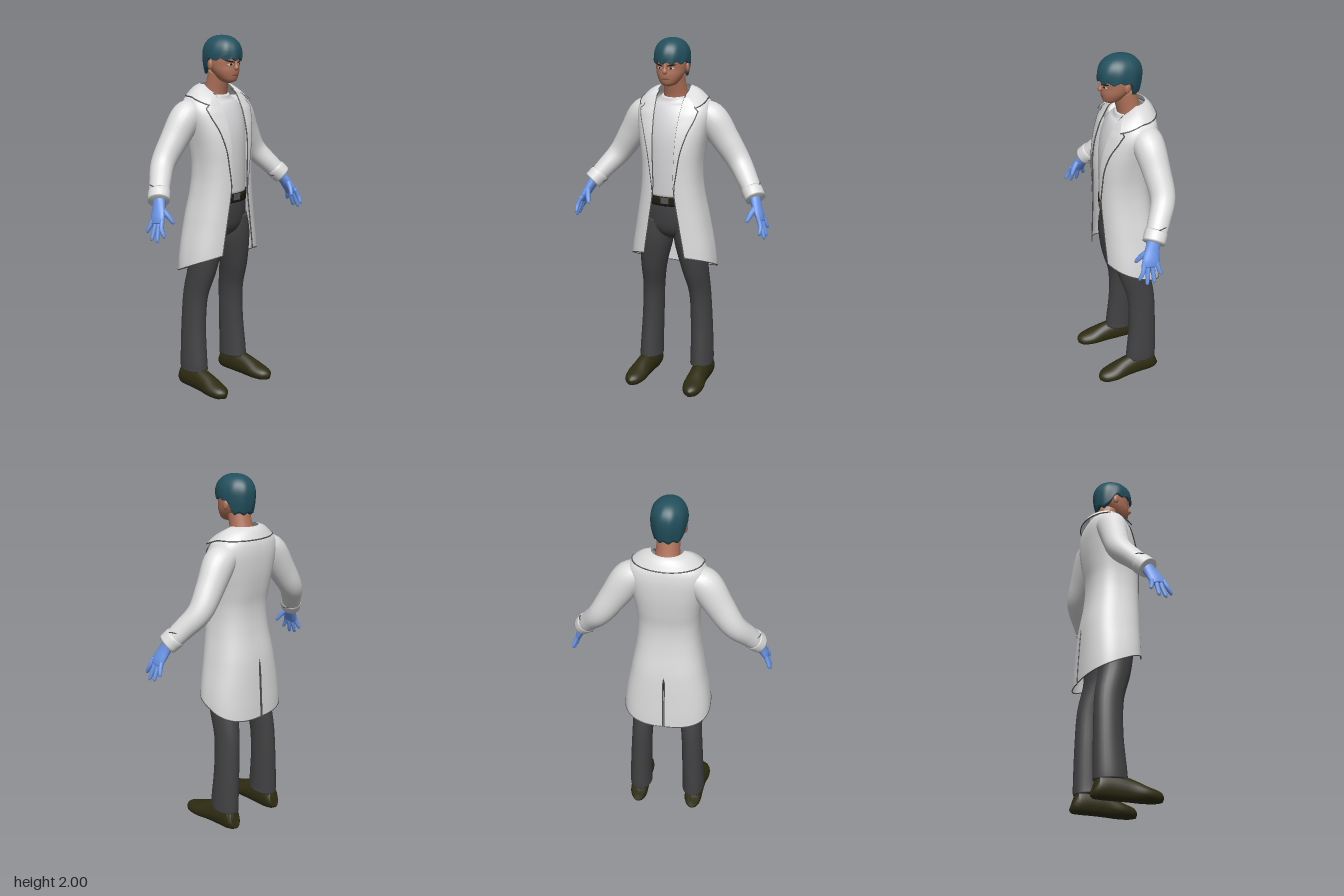
import * as THREE from 'three';
import { mergeVertices } from 'three/addons/utils/BufferGeometryUtils.js';

const mat = (name, color, side = THREE.FrontSide) => {
  const m = new THREE.MeshStandardMaterial({ color, side });
  m.name = name;
  return m;
};

// Smooth interpolation through table rows, t in 0..1
function sample(rows, t) {
  const n = rows.length - 1, s = Math.min(Math.max(t, 0), 1) * n;
  const i = Math.min(Math.floor(s), n - 1), f = s - i;
  const [a, b, c, d] = [-1, 0, 1, 2].map(k => rows[Math.min(Math.max(i + k, 0), n)]);
  return b.map((_, k) => b[k] + 0.5 * f * (c[k] - a[k] + f * (2 * a[k] - 5 * b[k] + 4 * c[k] - d[k]
    + f * (3 * (b[k] - c[k]) + d[k] - a[k]))));
}
// Look up a table whose first column is a descending height
function atY(rows, y) {
  let i = 0;
  while (i < rows.length - 2 && y < rows[i + 1][0]) i++;
  const f = Math.min(Math.max((rows[i][0] - y) / (rows[i][0] - rows[i + 1][0]), 0), 1);
  return sample(rows, (i + f) / (rows.length - 1));
}

// Smooth surface from a function of u and v
function grid(nu, nv, f) {
  const pos = [], idx = [];
  for (let i = 0; i <= nu; i++) for (let j = 0; j <= nv; j++) pos.push(...f(i / nu, j / nv));
  for (let i = 0; i < nu; i++) for (let j = 0; j < nv; j++) {
    const a = i * (nv + 1) + j, b = a + nv + 1;
    idx.push(a, b, a + 1, b, b + 1, a + 1);
  }
  let g = new THREE.BufferGeometry();
  g.setAttribute('position', new THREE.Float32BufferAttribute(pos, 3));
  g.setIndex(idx);
  g = mergeVertices(g, 1e-5);
  g.computeVertexNormals();
  return g;
}

// Capped elliptical loft; rows are [x, y, z, radiusA, radiusB]
function limb(rows, ref = [0, 0, 1], nu = 20, nv = 20) {
  const R = new THREE.Vector3(...ref);
  return grid(nu + 2, nv, (u, v) => {
    const k = Math.round(u * (nu + 2)), t = Math.min(Math.max((k - 1) / nu, 0), 1);
    const p = sample(rows, t), p0 = sample(rows, t - 0.02), p1 = sample(rows, t + 0.02);
    const T = new THREE.Vector3(p1[0] - p0[0], p1[1] - p0[1], p1[2] - p0[2]).normalize();
    const side = T.clone().cross(R).normalize(), up = side.clone().cross(T);
    const r = k === 0 || k === nu + 2 ? 0 : 1, a = v === 1 ? 0 : v * Math.PI * 2;
    return new THREE.Vector3(p[0], p[1], p[2])
      .addScaledVector(side, r * p[3] * Math.cos(a)).addScaledVector(up, r * p[4] * Math.sin(a)).toArray();
  });
}

function mirrored(g) {
  const m = g.clone().scale(-1, 1, 1), ix = m.index.array;
  for (let i = 0; i < ix.length; i += 3) [ix[i], ix[i + 1]] = [ix[i + 1], ix[i]];
  m.computeVertexNormals();
  return m;
}

const piping = (n, f, r = 0.0035) => new THREE.TubeGeometry(new THREE.CatmullRomCurve3(
  Array.from({ length: n + 1 }, (_, i) => new THREE.Vector3(...f(i / n)))), n * 2, r, 6);

// Coat: height, half width, front z, back z, half opening, lapel edge
const COAT = [
  [1.71, 0.10, 0.0, -0.13, 0.083, 0.09], [1.69, 0.15, 0.025, -0.155, 0.082, 0.13],
  [1.66, 0.195, 0.045, -0.172, 0.08, 0.162], [1.6, 0.212, 0.08, -0.182, 0.076, 0.162],
  [1.5, 0.196, 0.115, -0.18, 0.07, 0.125], [1.4, 0.178, 0.131, -0.168, 0.066, 0.096],
  [1.3, 0.168, 0.133, -0.153, 0.062, 0.079], [1.18, 0.174, 0.133, -0.158, 0.063, 0.066],
  [1.0, 0.205, 0.132, -0.186, 0.09, 0.092], [0.8, 0.24, 0.13, -0.2, 0.122, 0.124],
  [0.65, 0.248, 0.126, -0.206, 0.138, 0.14]];
const POW = 2.6;
const coatFrontZ = (x, y) => {
  const [, rx, zf, zb] = atY(COAT, y), zc = (zf + zb) / 2;
  return zc + (zf - zc) * Math.pow(Math.max(0, 1 - Math.pow(Math.min(x / rx, 1), POW)), 1 / POW);
};
function coatPoint(v, u) {
  let y = 1.71;
  const p = [0, 0, 0];
  // The hem falls toward the back, so height is solved from depth
  for (let k = 0; k < 4; k++) {
    const hem = 0.757 + 0.44 * p[2];
    y = 1.71 + (hem - 1.71) * u;
    const [, rx, zf, zb, open] = atY(COAT, y), zc = (zf + zb) / 2;
    const vent = 0.005 * Math.min(Math.max((1.0 - y) / 0.03, 0), 1);
    const a0 = Math.asin(Math.pow(open / rx, POW / 2));
    const a1 = Math.PI - Math.asin(Math.pow(vent / rx, POW / 2));
    const a = a0 + (a1 - a0) * v, c = Math.cos(a);
    p[0] = rx * Math.pow(Math.max(Math.sin(a), 0), 2 / POW);
    p[1] = y;
    p[2] = zc + Math.sign(c) * (zf - zc) * Math.pow(Math.abs(c), 2 / POW);
  }
  return p;
}

// Head: height, half width, front z, back z
const HEAD = [
  [1.985, 0.03, 0.03, -0.04], [1.96, 0.07, 0.075, -0.08], [1.92, 0.084, 0.098, -0.1],
  [1.87, 0.085, 0.101, -0.1], [1.84, 0.082, 0.097, -0.085], [1.81, 0.074, 0.098, -0.06],
  [1.78, 0.058, 0.094, -0.03], [1.757, 0.038, 0.085, 0.0], [1.747, 0.012, 0.06, 0.025]];
const faceZ = (x, y) => {
  const [, rx, zf, zb] = atY(HEAD, y), zc = (zf + zb) / 2;
  return zc + (zf - zc) * Math.sqrt(Math.max(0, 1 - (x / rx) ** 2));
};
const facePatch = (cx, cy, w, h, tilt = 0, off = 0.002) => grid(4, 8, (u, v) => {
  const s = v * 2 - 1, x = cx + s * w;
  const y = cy + tilt * s + (0.5 - u) * h * Math.sqrt(Math.max(0.08, 1 - s * s));
  return [x, y, faceZ(x, y) + off];
});

export function createModel() {
  const model = new THREE.Group(), D = THREE.DoubleSide;
  const coat = mat('coatWhite', 0xdcdcdc, D), shirt = mat('shirtWhite', 0xd6d6d8);
  const trim = mat('seamGrey', 0x555555), trousers = mat('trouserGrey', 0x424244);
  const belt = mat('beltBlack', 0x201c12), hair = mat('hairTeal', 0x22505d, D);
  const skin = mat('skin', 0xb0735a), glove = mat('gloveBlue', 0x6c97ea);
  const shoe = mat('shoeOlive', 0x2f2c12), lip = mat('lip', 0x8a4f42);
  const add = (name, g, m) => {
    const o = new THREE.Mesh(g, m);
    o.name = name;
    model.add(o);
  };
  const pair = (name, g, m) => {
    add(name + 'Left', g, m);
    add(name + 'Right', mirrored(g), m);
  };

  // Head and face
  add('head', grid(30, 32, (u, v) => {
    const [y, rx, zf, zb] = sample(HEAD, u), a = v * Math.PI * 2;
    return [rx * Math.sin(a), y, (zf + zb) / 2 + (zf - zb) / 2 * Math.cos(a)];
  }), skin);
  add('neck', limb([[0, 1.65, -0.065, 0.078, 0.07], [0, 1.71, -0.05, 0.065, 0.062], [0, 1.8, -0.025, 0.06, 0.062]]), skin);
  add('nose', limb([[0, 1.868, 0.096, 0.007, 0.006], [0, 1.845, 0.1, 0.008, 0.009],
    [0, 1.828, 0.104, 0.014, 0.012], [0, 1.818, 0.1, 0.008, 0.006]], [0, 0, 1], 10, 12), skin);
  pair('ear', new THREE.SphereGeometry(1, 14, 10).scale(0.011, 0.027, 0.017).translate(0.085, 1.845, -0.012), skin);
  pair('eye', facePatch(0.033, 1.848, 0.015, 0.011), shirt);
  pair('iris', facePatch(0.032, 1.848, 0.006, 0.011, 0, 0.004), belt);
  pair('eyebrow', facePatch(0.035, 1.863, 0.022, 0.009, 0.004, 0.004), belt);
  add('mouth', facePatch(0, 1.789, 0.023, 0.009), lip);

  // Hair cap with a jagged fringe, longer behind the ears
  add('hair', grid(20, 72, (u, v) => {
    const a = v === 1 ? 0 : v * Math.PI * 2, b = Math.abs(a > Math.PI ? a - 2 * Math.PI : a);
    const low = 1.874 - 0.074 * THREE.MathUtils.smoothstep(b, 1.65, 2.2) + 0.007 * Math.sin(a * 11);
    const lock = 1 + 0.012 * Math.sin(a * 9 + u * 4) * Math.min(u * 2, 1);
    let r = 1, y;
    if (u < 0.6) {
      const q = u / 0.6 * Math.PI / 2;
      r = Math.pow(Math.sin(q), 0.88);
      y = 1.9 + 0.1 * Math.pow(Math.max(Math.cos(q), 0), 0.95);
    } else {
      const q = Math.min((u - 0.6) / 0.35, 1);
      y = 1.9 + (low - 1.9) * q;
      r = 1 - 12 * (1.9 - y) ** 2;
      if (u > 0.96) r *= 0.84;
    }
    return [0.096 * r * lock * Math.sin(a), y, -0.004 + 0.119 * r * lock * Math.cos(a)];
  }), hair);

  // Shirt, belt and trousers
  add('shirt', limb([[0, 1.69, -0.052, 0.074, 0.07], [0, 1.64, -0.058, 0.13, 0.095], [0, 1.56, -0.042, 0.168, 0.118],
    [0, 1.45, -0.022, 0.162, 0.125], [0, 1.3, -0.008, 0.15, 0.116], [0, 1.13, -0.005, 0.152, 0.108]], [0, 0, 1], 24, 32), shirt);
  add('belt', limb([[0, 1.15, -0.01, 0.162, 0.12], [0, 1.098, -0.013, 0.164, 0.12]], [0, 0, 1], 3, 32), belt);
  add('buckle', new THREE.BoxGeometry(0.045, 0.034, 0.008).translate(0, 1.124, 0.11), trim);
  add('hips', limb([[0, 1.14, -0.012, 0.15, 0.108], [0, 1.08, -0.015, 0.165, 0.115], [0, 0.98, -0.027, 0.172, 0.115],
    [0, 0.92, -0.03, 0.13, 0.095], [0, 0.88, -0.03, 0.04, 0.05]], [0, 0, 1], 16, 32), trousers);
  pair('trouserLeg', limb([[0.09, 1.0, -0.03, 0.08, 0.11], [0.105, 0.88, -0.03, 0.095, 0.11],
    [0.126, 0.72, -0.037, 0.077, 0.09], [0.145, 0.55, -0.075, 0.061, 0.081], [0.155, 0.35, -0.083, 0.062, 0.081],
    [0.162, 0.16, -0.076, 0.065, 0.09], [0.162, 0.1, -0.073, 0.066, 0.092]], [0, 0, 1], 28, 24), trousers);

  // Shoes, flattened against the ground
  const foot = limb([[0.168, 0.06, -0.163, 0.03, 0.045], [0.168, 0.055, -0.14, 0.05, 0.072],
    [0.17, 0.055, -0.05, 0.052, 0.075], [0.174, 0.046, 0.03, 0.053, 0.064], [0.18, 0.032, 0.11, 0.06, 0.046],
    [0.184, 0.024, 0.175, 0.044, 0.034], [0.185, 0.018, 0.203, 0.012, 0.016]], [0, 1, 0], 26, 24);
  const fp = foot.attributes.position;
  for (let i = 0; i < fp.count; i++) fp.setY(i, Math.max(fp.getY(i), 0));
  foot.computeVertexNormals();
  pair('shoe', foot, shoe);

  // Open coat halves with lapels and dark piping
  pair('coatBody', grid(44, 32, (u, v) => coatPoint(v, u)), coat);
  const lapelY = u => 1.685 - 0.5 * u;
  const lapelX = y => atY(COAT, y)[5] - 0.02 * THREE.MathUtils.smoothstep(y, 1.625, 1.635);
  pair('lapel', grid(36, 8, (u, v) => {
    const y = lapelY(u), x0 = atY(COAT, y)[4], x = x0 + (lapelX(y) - x0) * v;
    return [x, y, coatFrontZ(x, y) + 0.006];
  }), coat);
  pair('lapelPiping', piping(36, t => {
    const y = lapelY(0.08 + t * 0.92), x = lapelX(y);
    return [x, y, coatFrontZ(x, y) + 0.004];
  }), trim);
  pair('frontEdgePiping', piping(40, t => coatPoint(0, t)), trim);
  pair('hemPiping', piping(32, t => coatPoint(t, 1), 0.003), trim);
  pair('ventPiping', piping(12, t => coatPoint(1, 0.7 + 0.3 * t), 0.003), trim);

  // Turned-down collar around the back of the neck
  const collar = (a, w) => {
    const s = Math.sin(a), c = Math.cos(a), f = Math.max(0, -c);
    const x = (0.086 + 0.1 * w) * s + 0.028 * f * Math.sign(s);
    const z = -0.055 - c * ((c > 0 ? 0.085 : 0.1) + (c > 0 ? 0.05 : 0.07) * w);
    const y = 1.738 - 0.06 * w - 0.06 * f + 0.012 * Math.sin(w * Math.PI);
    return [x, y, z];
  };
  add('collar', grid(8, 40, (u, v) => collar(2.3 * (1 - 2 * v), u)), coat);
  add('collarPiping', piping(40, t => collar(2.3 * (1 - 2 * t), 1)), trim);

  // Sleeves and cuffs
  pair('sleeve', limb([[0.13, 1.605, -0.075, 0.06, 0.075], [0.2, 1.565, -0.08, 0.088, 0.084],
    [0.28, 1.45, -0.092, 0.079, 0.074], [0.36, 1.333, -0.094, 0.066, 0.066],
    [0.43, 1.245, -0.042, 0.056, 0.059], [0.487, 1.172, 0.01, 0.049, 0.055]], [0, 0, 1], 28, 24), coat);
  pair('cuff', limb([[0.458, 1.21, -0.017, 0.052, 0.056], [0.465, 1.2, -0.01, 0.057, 0.061],
    [0.494, 1.164, 0.016, 0.054, 0.06]], [0, 0, 1], 8, 24), coat);
  pair('cuffPiping', piping(24, t => {
    const a = t * Math.PI * 2;
    return [0.46 + 0.043 * Math.cos(a), 1.206 + 0.034 * Math.cos(a) - 0.012 * Math.sin(a), -0.015 + 0.055 * Math.sin(a)];
  }, 0.003), trim);

  // Gloved hands
  pair('palm', limb([[0.485, 1.175, 0.01, 0.03, 0.036], [0.505, 1.13, 0.028, 0.025, 0.04],
    [0.528, 1.085, 0.045, 0.02, 0.046], [0.54, 1.055, 0.052, 0.014, 0.042]], [0, 0, 1], 14, 18), glove);
  const fingers = [[0.084, 0.552, 0.995, 0.115], [0.064, 0.566, 0.968, 0.08],
    [0.041, 0.568, 0.972, 0.042], [0.018, 0.562, 1.005, 0.002]];
  fingers.forEach(([z, x, y, tz], i) => pair('finger' + (i + 1), limb([[0.53, 1.085, z, 0.012, 0.012],
    [0.549, 1.085 + (y - 1.085) * 0.5, z + (tz - z) * 0.4, 0.012, 0.012],
    [x - 0.001, y + 0.01, tz, 0.009, 0.01], [x, y, tz, 0.004, 0.004]], [0, 0, 1], 10, 10), glove));
  pair('thumb', limb([[0.508, 1.135, 0.045, 0.016, 0.016], [0.492, 1.1, 0.08, 0.014, 0.014],
    [0.478, 1.065, 0.103, 0.01, 0.011], [0.474, 1.054, 0.108, 0.004, 0.004]], [1, 0, 0], 10, 10), glove);
  return model;
}
